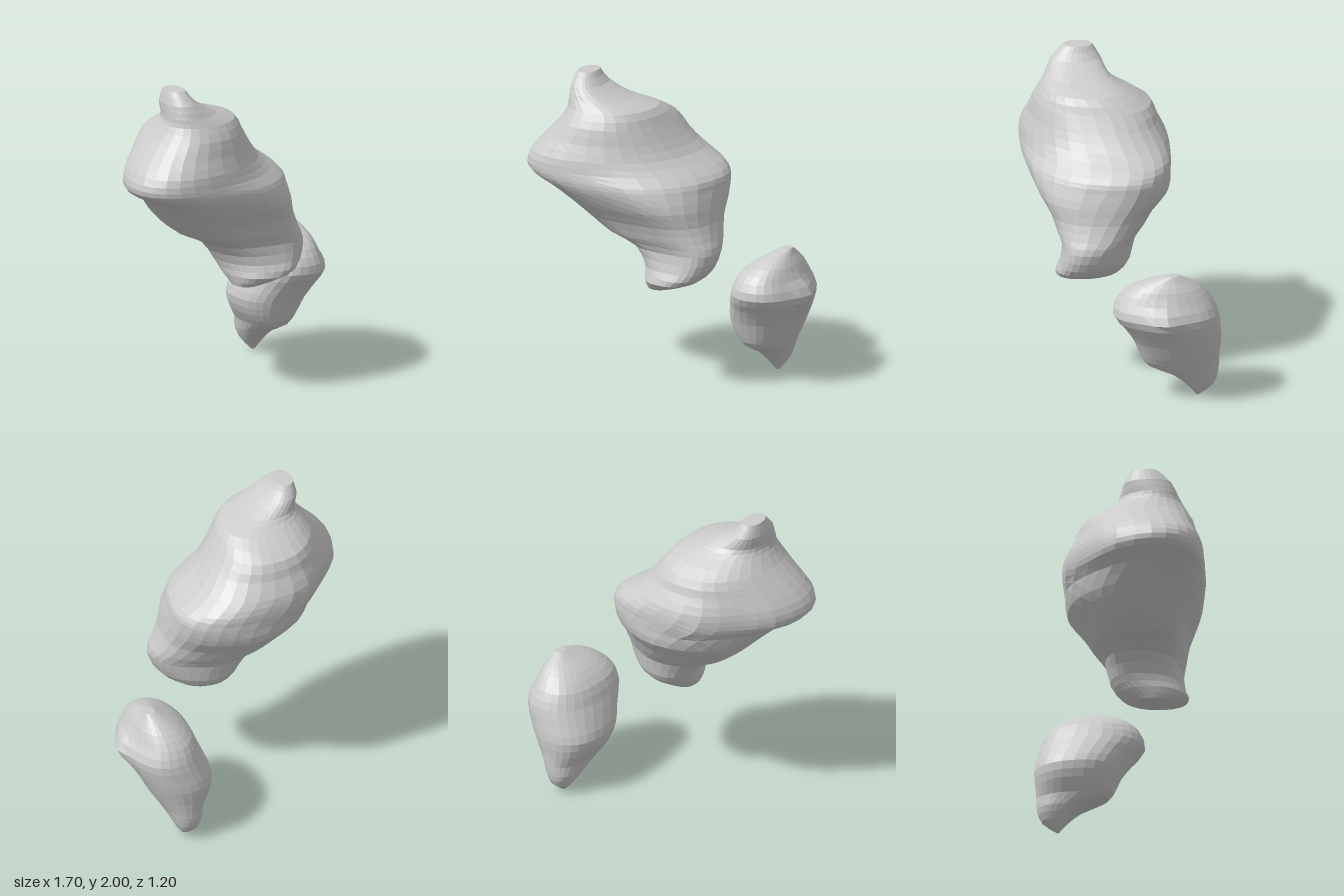
import * as THREE from 'three';

const SIDES = 28;
const bulge = (v, power) => Math.sign(v) * Math.pow(Math.abs(v), power);

// Halfway points on a Catmull-Rom spline round off the change from row to row.
function smoothRows(rows) {
  const at = (i) => rows[Math.min(Math.max(i, 0), rows.length - 1)];
  return rows.flatMap((row, i) => i === rows.length - 1 ? [row] : [
    row,
    row.map((v, k) => (9 * (v + at(i + 1)[k]) - at(i - 1)[k] - at(i + 2)[k]) / 16),
  ]);
}

// Lofts a closed rock from rows of [y, xMin, xMax, zMin, zMax, skew, box], top to bottom;
// box squares off the front of a section and narrows its back.
// Each pull { at, by, radius } then drags the nearby surface to form a lump or hollow.
function rock(name, rows, pulls) {
  const cap = ([y, x0, x1, z0, z1]) => {
    const x = (x0 + x1) / 2, z = (z0 + z1) / 2;
    return [y, x, x, z, z, 0, 0];
  };
  const rings = [cap(rows[0]), ...smoothRows(rows), cap(rows[rows.length - 1])];
  const pos = [], index = [];
  for (const [y, x0, x1, z0, z1, skew, box] of rings) {
    for (let j = 0; j < SIDES; j++) {
      const t = (j / SIDES) * Math.PI * 2;
      const power = 0.88 - box * Math.sin(t);
      const start = new THREE.Vector3(
        (x0 + x1) / 2 + ((x1 - x0) / 2) * bulge(Math.cos(t), power),
        y,
        (z0 + z1) / 2 + ((z1 - z0) / 2) * bulge(Math.sin(t + skew), power)
      );
      const p = start.clone();
      for (const { at, by, radius } of pulls) {
        const d = start.distanceTo(new THREE.Vector3(...at)) / radius;
        p.addScaledVector(new THREE.Vector3(...by), Math.exp(-d * d));
      }
      pos.push(p.x, p.y, p.z);
    }
  }
  for (let i = 0; i < rings.length - 1; i++) {
    for (let j = 0; j < SIDES; j++) {
      const a = i * SIDES + j, b = i * SIDES + ((j + 1) % SIDES);
      const c = a + SIDES, d = b + SIDES;
      if (i > 0) index.push(a, b, c);
      if (i < rings.length - 2) index.push(b, d, c);
    }
  }
  const geo = new THREE.BufferGeometry();
  geo.setAttribute('position', new THREE.Float32BufferAttribute(pos, 3));
  geo.setIndex(index);
  geo.computeVertexNormals();
  const mesh = new THREE.Mesh(geo, new THREE.MeshStandardMaterial({ color: 0xcccccc, flatShading: true }));
  mesh.name = name;
  return mesh;
}

export function createModel() {
  const group = new THREE.Group();
  group.name = 'rocks';

  // Large rock: knob on top, blunt nose on one side, narrow foot below
  group.add(rock('largeRock', [
    [2.00, -0.56, -0.44, 0.14, 0.32, 0, 0],
    [1.92, -0.58, -0.38, 0.09, 0.40, 0, 0],
    [1.84, -0.58, -0.22, 0.04, 0.44, -0.2, 0],
    [1.79, -0.59, -0.07, -0.05, 0.47, -0.2, 0],
    [1.70, -0.65, 0.00, -0.21, 0.52, -0.2, 0],
    [1.60, -0.74, 0.07, -0.25, 0.55, -0.25, 0],
    [1.50, -0.82, 0.16, -0.30, 0.59, -0.32, 0],
    [1.42, -0.85, 0.28, -0.32, 0.60, -0.35, 0],
    [1.36, -0.82, 0.34, -0.32, 0.60, -0.3, 0.05],
    [1.30, -0.71, 0.35, -0.32, 0.58, -0.25, 0.1],
    [1.20, -0.60, 0.36, -0.31, 0.52, -0.1, 0.2],
    [1.10, -0.50, 0.37, -0.23, 0.45, 0, 0.25],
    [1.00, -0.37, 0.40, -0.16, 0.41, 0.1, 0.25],
    [0.92, -0.20, 0.42, -0.09, 0.38, 0.25, 0.2],
    [0.80, -0.11, 0.38, -0.06, 0.40, 0.3, 0.1],
    [0.72, -0.08, 0.29, 0.00, 0.42, 0.2, 0],
    [0.65, -0.05, 0.10, 0.12, 0.31, 0, 0],
  ], [
    { at: [-0.65, 1.45, -0.08], by: [0.02, 0, 0.03], radius: 0.22 }, // hollow behind the nose
    { at: [-0.35, 1.4, -0.25], by: [-0.02, 0, -0.03], radius: 0.2 }, // back
  ]));

  // Small rock: rounded crown tapering to a point at the ground
  group.add(rock('smallRock', [
    [0.87, 0.61, 0.68, -0.32, -0.24, 0, 0],
    [0.83, 0.54, 0.70, -0.39, -0.12, 0, 0],
    [0.78, 0.46, 0.73, -0.46, -0.02, 0, 0],
    [0.70, 0.38, 0.76, -0.53, 0.06, 0, 0],
    [0.60, 0.34, 0.80, -0.575, 0.09, 0, 0],
    [0.50, 0.30, 0.77, -0.59, 0.02, 0, 0],
    [0.40, 0.27, 0.72, -0.60, -0.04, 0, 0],
    [0.30, 0.30, 0.67, -0.59, -0.08, 0, 0],
    [0.22, 0.35, 0.62, -0.585, -0.13, 0, 0],
    [0.15, 0.37, 0.58, -0.58, -0.28, 0, 0],
    [0.07, 0.41, 0.54, -0.55, -0.38, 0, 0],
    [0.00, 0.47, 0.49, -0.46, -0.44, 0, 0],
  ], [
    { at: [0.8, 0.6, -0.22], by: [0.05, 0, 0], radius: 0.1 },        // side point
  ]));
  return group;
}
